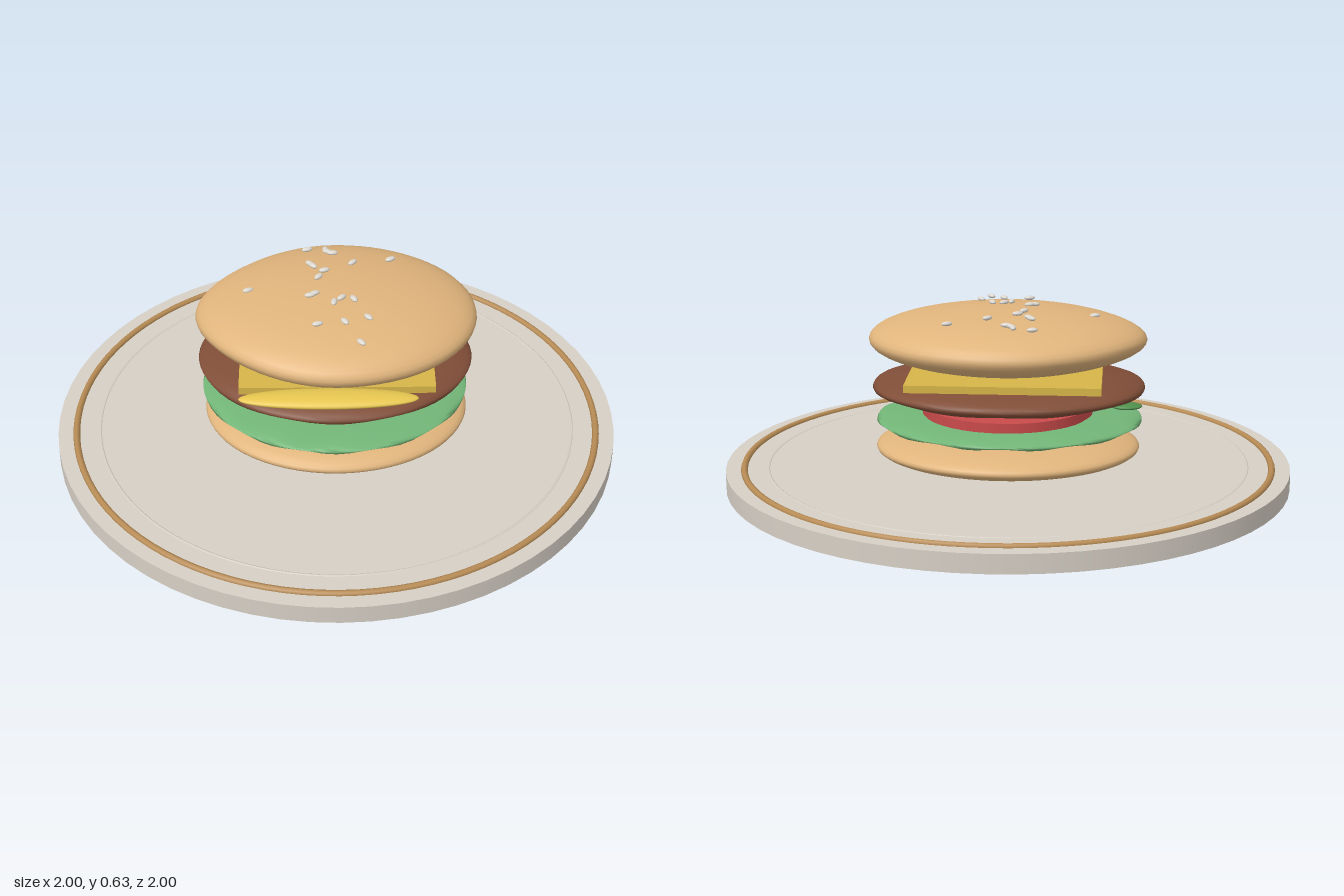
import * as THREE from 'three';

const material = (name, color) => {
  const m = new THREE.MeshStandardMaterial({ color });
  m.name = name;
  return m;
};

export function createModel() {
  const mats = {
    plate: material('plate stone', 0xd6cfc5),
    trim: material('plate trim gold', 0xb88c55),
    bun: material('bun crust', 0xe0b47c),
    lettuce: material('lettuce green', 0x72b577),
    pickle: material('pickle green', 0x4f8f4c),
    tomato: material('tomato red', 0xc94a4a),
    patty: material('patty brown', 0x804e38),
    cheese: material('cheese yellow', 0xd6b548),
    sauce: material('sauce yellow', 0xe6c650),
    seed: material('seed cream', 0xdcd8d0),
  };
  const group = new THREE.Group();

  const add = (name, geometry, mat, x = 0, y = 0, z = 0) => {
    const mesh = new THREE.Mesh(geometry, mat);
    mesh.name = name;
    mesh.position.set(x, y, z);
    group.add(mesh);
    return mesh;
  };

  // Ellipsoid, optionally reshaped by a rule on its vertices
  const ellipsoid = (rx, ry, rz, rule) => {
    const geo = new THREE.SphereGeometry(1, 64, 24);
    const pos = geo.attributes.position;
    const v = new THREE.Vector3();
    geo.scale(rx, ry, rz);
    if (rule) {
      for (let i = 0; i < pos.count; i++) {
        v.fromBufferAttribute(pos, i);
        rule(v);
        pos.setXYZ(i, v.x, v.y, v.z);
      }
      // Rounded normals stay continuous over the sphere seam
      const nor = geo.attributes.normal;
      for (let i = 0; i < pos.count; i++) {
        v.fromBufferAttribute(pos, i);
        v.set(v.x / rx ** 2, v.y / ry ** 2, v.z / rz ** 2).normalize();
        nor.setXYZ(i, v.x, v.y, v.z);
      }
    }
    return geo;
  };

  // Plate with raised gold trim and a fine inner ring
  add('plate', new THREE.CylinderGeometry(1, 1, 0.066, 64), mats.plate, 0, 0.033, 0);
  const ring = (name, radius, tube, mat, y) => {
    const geo = new THREE.TorusGeometry(radius, tube, 8, 96);
    geo.rotateX(Math.PI / 2);
    add(name, geo, mat, 0, y, 0);
  };
  ring('plateTrim', 0.935, 0.012, mats.trim, 0.066);
  ring('plateInnerRing', 0.85, 0.006, mats.plate, 0.062);

  // Lower stack
  add('bottomBun', ellipsoid(0.468, 0.068, 0.396), mats.bun, 0, 0.125, 0);
  const ripple = (amount, waves) => (v) => {
    const a = Math.atan2(v.z, v.x);
    const edge = (v.x / 0.48) ** 2 + (v.z / 0.42) ** 2;
    v.y += amount * edge * Math.sin(waves * a);
  };
  add('lettuce', ellipsoid(0.47, 0.034, 0.416, ripple(0.004, 11)), mats.lettuce, -0.005, 0.225, 0);
  add('tomato', new THREE.CylinderGeometry(0.302, 0.302, 0.034, 40), mats.tomato, 0, 0.267, -0.01);
  add('patty', ellipsoid(0.482, 0.061, 0.398, ripple(0.003, 7)), mats.patty, -0.003, 0.342, 0);
  add('pickle', ellipsoid(0.055, 0.011, 0.04), mats.pickle, -0.42, 0.302, -0.115);

  // Cheese slice with a bead of sauce along its front edge
  add('cheese', new THREE.BoxGeometry(0.67, 0.026, 0.61), mats.cheese, 0, 0.4, -0.01);
  add('sauce', ellipsoid(0.305, 0.021, 0.054), mats.sauce, -0.03, 0.397, 0.337);

  // Top bun, a little narrower towards its right side
  add('topBun', ellipsoid(0.49, 0.108, 0.408, (v) => {
    if (v.x < 0) v.z *= 1 - 0.2 * (v.x / 0.49) ** 2;
  }), mats.bun, 0, 0.514, 0);

  // Sesame seeds: x, z, turn
  const seeds = [
    [-0.1, -0.275, 0.3], [-0.035, -0.265, 1.6], [-0.025, -0.25, -0.9], [-0.01, -0.24, 0],
    [0.06, -0.165, 0.8], [0.195, -0.205, 0.5], [-0.09, -0.16, -0.8], [-0.08, -0.145, -0.8],
    [-0.04, -0.11, 0.3], [-0.06, -0.067, 0.9], [-0.305, -0.02, 0.4], [-0.09, 0.047, 0.2],
    [-0.075, 0.037, 0.4], [-0.008, 0.09, 1.4], [0.018, 0.065, 0.8], [0.06, 0.072, -1.1],
    [-0.065, 0.205, 0.3], [0.027, 0.195, -1], [0.107, 0.17, -0.9], [0.08, 0.295, -0.9],
  ];
  const seedGeometry = new THREE.SphereGeometry(1, 12, 8);
  seedGeometry.scale(0.02, 0.008, 0.011);
  for (const [x, z, turn] of seeds) {
    const y = 0.627 - 0.28 * (x * x + z * z);
    add('sesameSeed', seedGeometry, mats.seed, x, y, z).rotation.y = turn;
  }

  return group;
}
